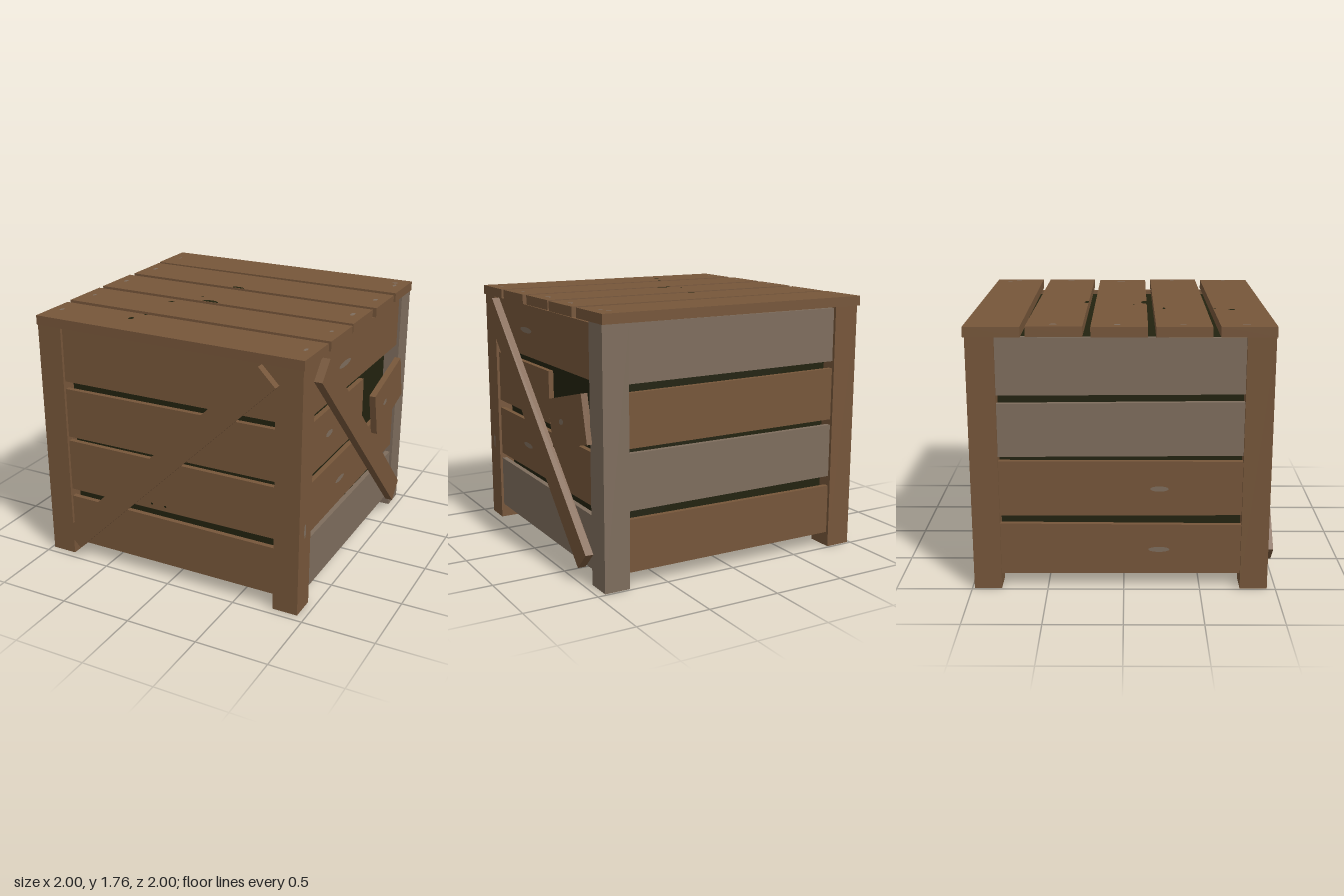
import * as THREE from 'three';

const mat = (name, color) => {
  const m = new THREE.MeshStandardMaterial({ color });
  m.name = name;
  return m;
};

export function createModel() {
  const brown = mat('brownWood', 0x76563a);
  const gray = mat('weatheredWood', 0x7e6d5d);
  const dark = mat('darkInside', 0x22220f);

  const crate = new THREE.Group();
  crate.name = 'crate';
  const C = -0.02; // the frame sits slightly off centre, because of the braces

  function add(parent, name, geometry, material, x = 0, y = 0, z = 0) {
    const m = new THREE.Mesh(geometry, material);
    m.name = name;
    m.position.set(x, y, z);
    parent.add(m);
    return m;
  }

  // Flat board with an uneven outline, lying between depths w0 and w1
  function board(parent, name, corners, w0, w1, material) {
    const shape = new THREE.Shape(corners.map(([u, v]) => new THREE.Vector2(u, v)));
    const g = new THREE.ExtrudeGeometry(shape, { depth: w1 - w0, bevelEnabled: false });
    return add(parent, name, g, material, 0, 0, w0);
  }

  // Thin oval mark (half oval where it meets a plank edge)
  function knot(parent, u, v, w, ru, rv, material, half = false) {
    const g = new THREE.CircleGeometry(1, 16, 0, half ? Math.PI : Math.PI * 2);
    g.scale(ru, rv, 1);
    return add(parent, 'knot', g, material, u, v, w);
  }

  // Dark core seen through the gaps
  add(crate, 'inside', new THREE.BoxGeometry(1.71, 1.56, 1.71), dark, C, 0.88, C);

  // Corner posts, with feet slightly narrowed
  for (const sx of [-1, 1]) {
    for (const sz of [-1, 1]) {
      const g = new THREE.BoxGeometry(0.18, 1.69, 0.18);
      const p = g.attributes.position;
      for (let i = 0; i < p.count; i++) {
        if (p.getY(i) < 0) p.setX(i, p.getX(i) * 0.98);
      }
      g.computeVertexNormals();
      add(crate, 'cornerPost', g, sx > 0 && sz < 0 ? gray : brown,
        C + sx * 0.875, 0.845, C + sz * 0.875);
    }
  }

  // Each wall row: bottom left, bottom right, top right, top left heights
  const plainRows = [
    [0.10, 0.10, 0.44, 0.45],
    [0.505, 0.51, 0.875, 0.875],
    [0.905, 0.915, 1.27, 1.255],
    [1.31, 1.32, 1.68, 1.685],
  ];
  const rightRows = [
    [0.10, 0.09, 0.45, 0.465],
    [0.505, 0.515, 0.865, 0.855],
    [0.915, 0.915, 1.275, 1.275],
    [1.325, 1.32, 1.675, 1.685],
  ];
  const walls = [
    { name: 'frontWall', turn: 0, rows: plainRows, mats: [brown, brown, brown, brown] },
    { name: 'rightWall', turn: 1, rows: rightRows, mats: [gray, brown, brown, brown] },
    { name: 'backWall', turn: 2, rows: plainRows, mats: [brown, gray, brown, gray] },
    { name: 'leftWall', turn: 3, rows: plainRows, mats: [brown, brown, gray, gray] },
  ];
  const face = 0.945; // outer depth of the wall boards
  const groups = walls.map(({ name, turn, rows, mats }) => {
    const wall = new THREE.Group();
    wall.name = name;
    wall.position.set(C, 0, C);
    wall.rotation.y = turn * Math.PI / 2;
    crate.add(wall);
    rows.forEach(([bl, br, tr, tl], i) => {
      const broken = turn === 1 && i === 2;
      const end = broken ? 0.12 : 0.86;
      board(wall, broken ? 'brokenBoard' : 'wallBoard',
        [[-0.86, bl], [end + (broken ? 0.005 : 0), br], [end, tr], [-0.86, tl]],
        0.91, face, mats[i]);
    });
    return wall;
  });
  const [front, right, , left] = groups;

  // Diagonal braces on the front and right walls
  for (const [wall, s] of [[front, 1], [right, -1]]) {
    const brace = add(wall, 'diagonalBrace', new THREE.BoxGeometry(2.105, 0.167, 0.055),
      brown, 0, 0.89, 0.9925);
    brace.rotation.z = s * 0.777;
  }

  // Loose piece hanging from the broken board
  const piece = new THREE.Group();
  piece.name = 'loosePiece';
  piece.position.set(0.518, 1.02, 0.978);
  piece.rotation.z = 0.245;
  right.add(piece);
  add(piece, 'loosePlank', new THREE.BoxGeometry(0.53, 0.32, 0.045), brown);
  knot(piece, -0.085, 0, 0.0245, 0.032, 0.019, gray);

  // Wall knots
  knot(front, -0.13, 0.545, face + 0.002, 0.009, 0.007, dark);
  knot(front, -0.025, 0.545, face + 0.002, 0.009, 0.007, dark);
  knot(right, -0.25, 1.505, face + 0.002, 0.1, 0.02, gray);
  knot(right, -0.48, 1.1, face + 0.002, 0.055, 0.02, gray);
  knot(right, -0.26, 0.68, face + 0.002, 0.075, 0.018, gray);
  knot(right, -0.88, 0.58, 0.967, 0.015, 0.05, gray);
  knot(left, 0.25, 0.69, face + 0.002, 0.06, 0.018, gray);
  knot(left, 0.25, 0.27, face + 0.002, 0.07, 0.018, gray);

  // Lid, drawn flat (v = -z) and laid down
  const lid = new THREE.Group();
  lid.name = 'lid';
  lid.rotation.x = -Math.PI / 2;
  crate.add(lid);
  // x0, x1, then z of back left, back right, front right, front left
  const planks = [
    [-1, 0.95, -0.995, -1, -0.645, -0.64],
    [-0.99, 0.955, -0.61, -0.59, -0.24, -0.255],
    [-1, 0.945, -0.205, -0.195, 0.16, 0.15],
    [-1, 0.955, 0.2, 0.2, 0.555, 0.55],
    [-0.99, 0.955, 0.6, 0.595, 0.955, 0.95],
  ];
  for (const [x0, x1, bl, br, fr, fl] of planks) {
    board(lid, 'lidPlank', [[x0, -fl], [x1, -fr], [x1, -br], [x0, -bl]], 1.69, 1.755, brown);
  }

  // Nail marks near the plank ends, and dark knots
  const top = 1.757;
  for (const [x, z, rx, rz] of [
    [0.855, -0.9, 0.018, 0.015], [0.875, -0.83, 0.012, 0.025], [0.88, -0.42, 0.015, 0.025],
    [0.865, -0.03, 0.015, 0.032], [0.88, 0.37, 0.012, 0.018], [0.88, 0.77, 0.012, 0.024],
    [-0.915, -0.82, 0.006, 0.025], [-0.915, -0.44, 0.014, 0.026], [-0.925, -0.04, 0.014, 0.024],
    [-0.92, 0.37, 0.01, 0.02], [-0.915, 0.765, 0.012, 0.025],
  ]) knot(lid, x, -z, top, rx, rz, gray);
  for (const [x, z, rx, rz, half] of [
    [-0.105, -0.248, 0.05, 0.028, true], [-0.115, 0.154, 0.06, 0.038, true],
    [-0.35, 0.61, 0.012, 0.008], [-0.222, 0.065, 0.01, 0.007],
    [-0.355, 0.267, 0.025, 0.01], [-0.393, 0.72, 0.017, 0.025],
  ]) knot(lid, x, -z, top, rx, rz, dark, half);

  return crate;
}
